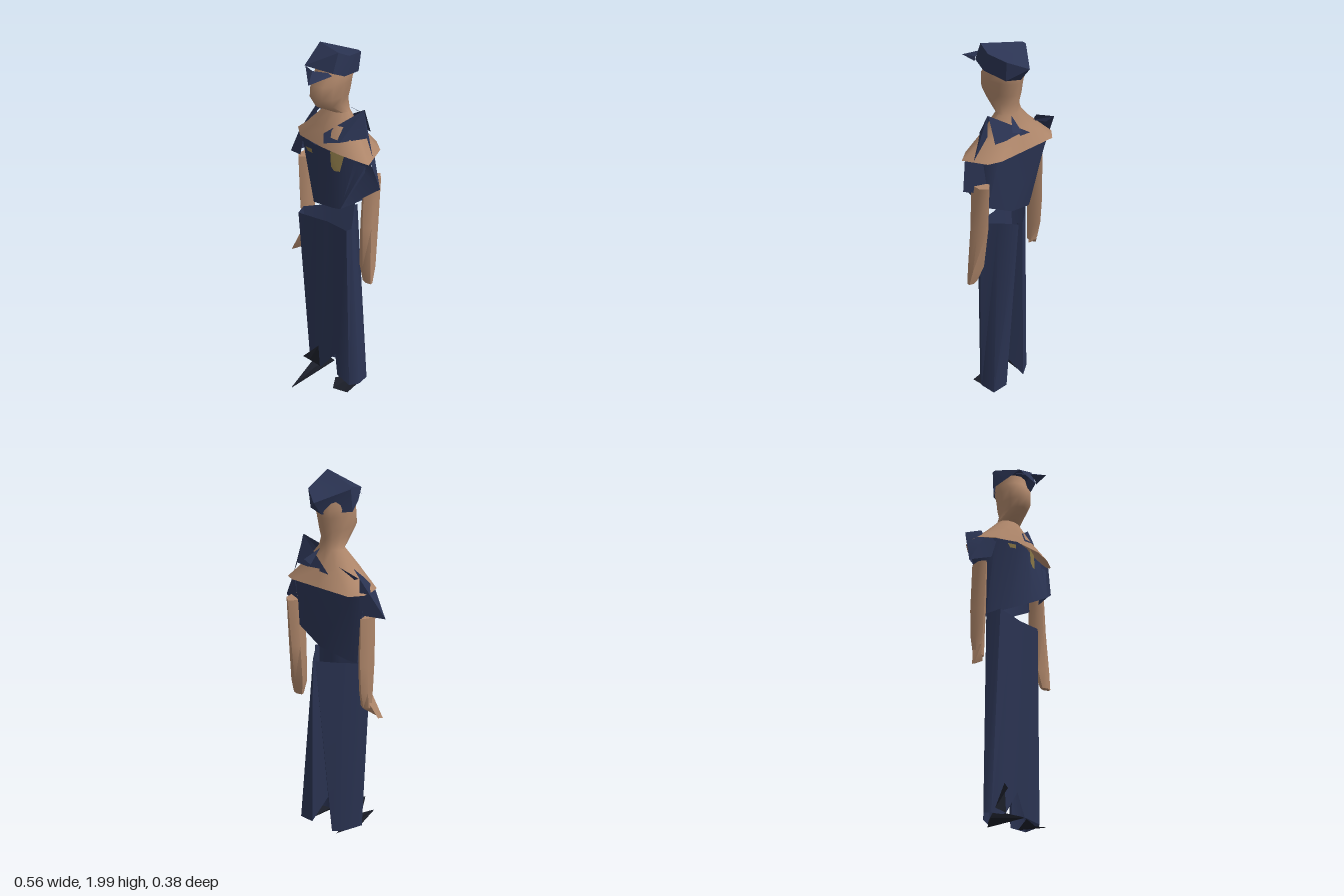
import * as THREE from 'three';
import { toCreasedNormals } from 'three/addons/utils/BufferGeometryUtils.js';

const material = (name, color) => {
  const m = new THREE.MeshStandardMaterial({ color, side: THREE.DoubleSide });
  m.name = name;
  return m;
};

// Skin over a stack of closed cross-sections, listed bottom to top
function loft(rings, { capTop = false, capBottom = false, crease = 1 } = {}) {
  const n = rings[0].length, pos = rings.flat(2), index = [];
  for (let r = 0; r < rings.length - 1; r++) {
    for (let i = 0; i < n; i++) {
      const a = r * n + i, b = r * n + (i + 1) % n;
      index.push(a, b, b + n, a, b + n, a + n);
    }
  }
  const top = (rings.length - 1) * n;
  for (let i = 1; i < n - 1; i++) {
    if (capTop) index.push(top, top + i, top + i + 1);
    if (capBottom) index.push(0, i + 1, i);
  }
  return build(pos, index, crease);
}

// Flat fan of corners
function plate(points) {
  const index = [];
  for (let i = 1; i < points.length - 1; i++) index.push(0, i, i + 1);
  return build(points.flat(), index, 0.5);
}

function build(pos, index, crease) {
  const g = new THREE.BufferGeometry();
  g.setAttribute('position', new THREE.Float32BufferAttribute(pos, 3));
  g.setIndex(index);
  return toCreasedNormals(g, crease);
}

// Oval cross-section from its half width and its back and front depth
function oval(y, x, rx, back, front, sides = 12) {
  const ring = [];
  for (let i = 0; i < sides; i++) {
    const a = (i / sides) * Math.PI * 2;
    ring.push([x + rx * Math.sin(a), y, (back + front) / 2 + ((front - back) / 2) * Math.cos(a)]);
  }
  return ring;
}

export function createModel() {
  const group = new THREE.Group();
  const navy = material('navy cloth', 0x2b3453);
  const skin = material('skin', 0xae866a);
  const gold = material('dull gold', 0x857344);
  const black = material('shoe black', 0x1b1e28);
  const add = (name, geometry, mat) => {
    const mesh = new THREE.Mesh(geometry, mat);
    mesh.name = name;
    group.add(mesh);
  };

  // Shoulders sloping to the neck, then the head
  add('shouldersAndHead', loft([
    [[0, 1.505, 0.055], [0.12, 1.5, 0.045], [0.2, 1.49, 0.02], [0.25, 1.475, -0.01],
      [0.205, 1.49, -0.14], [0.15, 1.5, -0.175], [0, 1.5, -0.175], [-0.18, 1.5, -0.175],
      [-0.23, 1.5, -0.12], [-0.235, 1.5, -0.06], [-0.23, 1.5, -0.02], [-0.16, 1.5, 0.035]],
    oval(1.59, -0.005, 0.136, -0.14, 0.03),
    oval(1.67, 0, 0.066, -0.11, -0.01),
    oval(1.72, 0, 0.062, -0.112, 0.075),
    oval(1.765, 0, 0.078, -0.12, 0.1),
    oval(1.83, 0.002, 0.08, -0.132, 0.095),
    oval(1.87, 0.002, 0.086, -0.14, 0.065),
    oval(1.925, 0, 0.075, -0.125, 0.05),
  ], { capTop: true }), skin);

  // Cap with a slanted crown that overhangs at the back
  add('cap', loft([
    [[-0.05, 1.92, 0.105], [0.09, 1.91, 0.065], [0.1, 1.88, 0], [0.075, 1.86, -0.12],
      [0, 1.85, -0.14], [-0.11, 1.86, -0.05], [-0.085, 1.885, 0.03]],
    [[-0.1, 1.975, -0.045], [0.09, 2, 0.03], [0.1, 1.97, -0.03], [0.08, 1.955, -0.13],
      [0, 1.92, -0.195], [-0.107, 1.968, -0.06], [-0.104, 1.972, -0.052]],
  ], { capTop: true, crease: 0.5 }), navy);
  add('capVisorRight', plate([[-0.08, 1.9, 0.07], [0.06, 1.885, 0.19], [0.01, 1.915, 0.115]]), navy);
  add('capVisorLeft', plate([[0.06, 1.885, 0.19], [0.09, 1.9, 0.07], [0.075, 1.915, 0.08],
    [0.01, 1.915, 0.115]]), navy);

  // Shirt body with a slanted open hem
  add('shirt', loft([
    [[-0.04, 1.14, 0], [0.07, 1.19, 0.045], [0.15, 1.23, 0.075], [0.19, 1.25, -0.03],
      [0.17, 1.22, -0.1], [0.03, 1.15, -0.12], [-0.12, 1.1, -0.08], [-0.15, 1.09, -0.06],
      [-0.15, 1.09, -0.045], [-0.12, 1.105, -0.03]],
    [[-0.03, 1.505, 0.06], [0.05, 1.505, 0.036], [0.115, 1.5, -0.002], [0.23, 1.48, -0.03],
      [0.19, 1.49, -0.1], [0.13, 1.5, -0.135], [-0.17, 1.5, -0.145], [-0.22, 1.5, -0.11],
      [-0.21, 1.5, -0.03], [-0.15, 1.5, 0.03]],
  ]), navy);

  // Sleeve flaps
  add('rightSleeve', plate([[-0.2, 1.5, 0], [-0.15, 1.605, -0.095], [-0.22, 1.59, -0.145],
    [-0.28, 1.35, -0.015], [-0.17, 1.385, 0.025], [-0.14, 1.5, 0.03]]), navy);
  add('rightSleeveBack', plate([[-0.22, 1.59, -0.145], [-0.28, 1.35, -0.015], [-0.19, 1.38, -0.1]]), navy);
  add('rightShoulderSpike', plate([[-0.215, 1.59, -0.145], [-0.09, 1.61, -0.128], [-0.18, 1.57, -0.13]]), navy);
  add('leftSleeve', plate([[0.17, 1.47, 0], [0.15, 1.23, 0.072], [0.285, 1.34, -0.055],
    [0.245, 1.475, -0.025]]), navy);
  add('leftSleeveBack', plate([[0.285, 1.34, -0.055], [0.245, 1.475, -0.03], [0.2, 1.49, -0.1],
    [0.17, 1.3, -0.1]]), navy);

  // Collar pieces
  add('collarFront', plate([[0.15, 1.7, -0.08], [0.01, 1.575, 0.045], [0.02, 1.53, 0.055],
    [0.1, 1.553, 0.03], [0.19, 1.575, -0.06]]), navy);
  add('collarSide', plate([[0.15, 1.7, -0.08], [0.19, 1.575, -0.06], [0.225, 1.485, -0.065],
    [0.16, 1.6, -0.09]]), navy);
  add('collarBack', plate([[0.15, 1.7, -0.085], [-0.05, 1.57, -0.155], [0.15, 1.57, -0.13]]), navy);
  add('collarTab', plate([[0.03, 1.67, -0.11], [0.03, 1.61, -0.185], [0.08, 1.62, -0.17]]), navy);

  // Chest badges
  add('badge', plate([[0.058, 1.5, 0.05], [0.064, 1.42, 0.05], [0.08, 1.4, 0.045], [0.105, 1.4, 0.032],
    [0.117, 1.495, 0.012]]), gold);
  add('nameBar', plate([[-0.095, 1.475, 0.062], [-0.08, 1.455, 0.062], [-0.045, 1.458, 0.066],
    [-0.045, 1.48, 0.068]]), gold);

  // Arms with tapered hands
  const closed = { capTop: true, capBottom: true };
  add('leftArm', loft([
    oval(0.78, 0.23, 0.03, -0.06, -0.03, 6),
    oval(0.87, 0.215, 0.043, -0.095, -0.02, 6),
    oval(1.1, 0.205, 0.042, -0.125, -0.025, 6),
    oval(1.36, 0.205, 0.036, -0.145, -0.03, 6),
  ], closed), skin);
  add('rightArm', loft([
    oval(0.85, -0.195, 0.028, -0.065, -0.015, 6),
    oval(0.95, -0.197, 0.031, -0.09, -0.005, 6),
    oval(1.1, -0.197, 0.034, -0.1, 0.005, 6),
    oval(1.36, -0.195, 0.03, -0.1, 0.015, 6),
  ], closed), skin);
  add('rightHand', loft([
    [[-0.26, 0.775, 0.015], [-0.24, 0.785, 0], [-0.25, 0.785, -0.015]],
    [[-0.205, 0.9, 0], [-0.17, 0.83, -0.04], [-0.215, 0.9, -0.06]],
  ], closed), skin);

  // Trousers, open at the waist, with a notch between the legs
  add('trousers', loft([
    [[-0.14, 0.07, 0.005], [-0.06, 0.07, 0], [0.03, 0.2, -0.02], [0.06, 0.08, -0.005],
      [0.15, 0.06, -0.005], [0.18, 0.06, -0.05], [0.165, 0.05, -0.13], [0.08, 0.06, -0.14],
      [0.03, 0.2, -0.06], [-0.05, 0.05, -0.135], [-0.11, 0.06, -0.1], [-0.165, 0.07, -0.02]],
    [[-0.145, 1.08, 0.07], [-0.05, 1.078, 0.045], [0.01, 1.076, 0.025], [0.06, 1.074, 0.02],
      [0.135, 1.07, 0.015], [0.145, 1.075, -0.01], [0.09, 1.09, -0.085], [0.035, 1.1, -0.172],
      [0.03, 1.1, -0.155], [0.015, 1.1, -0.178], [-0.08, 1.085, -0.1], [-0.18, 1.07, 0]],
  ]), navy);

  // Pointed shoes
  add('rightShoe', loft([
    [[-0.1, 0.01, 0.19], [-0.08, 0.04, 0.04], [-0.07, 0.035, -0.12], [-0.14, 0.045, 0]],
    [[-0.1, 0.015, 0.19], [-0.08, 0.07, 0.03], [-0.08, 0.06, -0.1], [-0.13, 0.07, 0]],
  ], { ...closed, crease: 0.5 }), black);
  add('rightShoeTongue', plate([[-0.07, 0.22, 0.01], [-0.11, 0.17, 0.09], [-0.13, 0.09, 0.02],
    [-0.06, 0.08, 0.01]]), black);
  add('leftShoe', plate([[0.11, 0.05, -0.12], [0.06, 0.07, 0.01], [0.08, 0.03, 0.05],
    [0.17, 0.042, 0.03], [0.17, 0.06, -0.08]]), black);

  return group;
}
